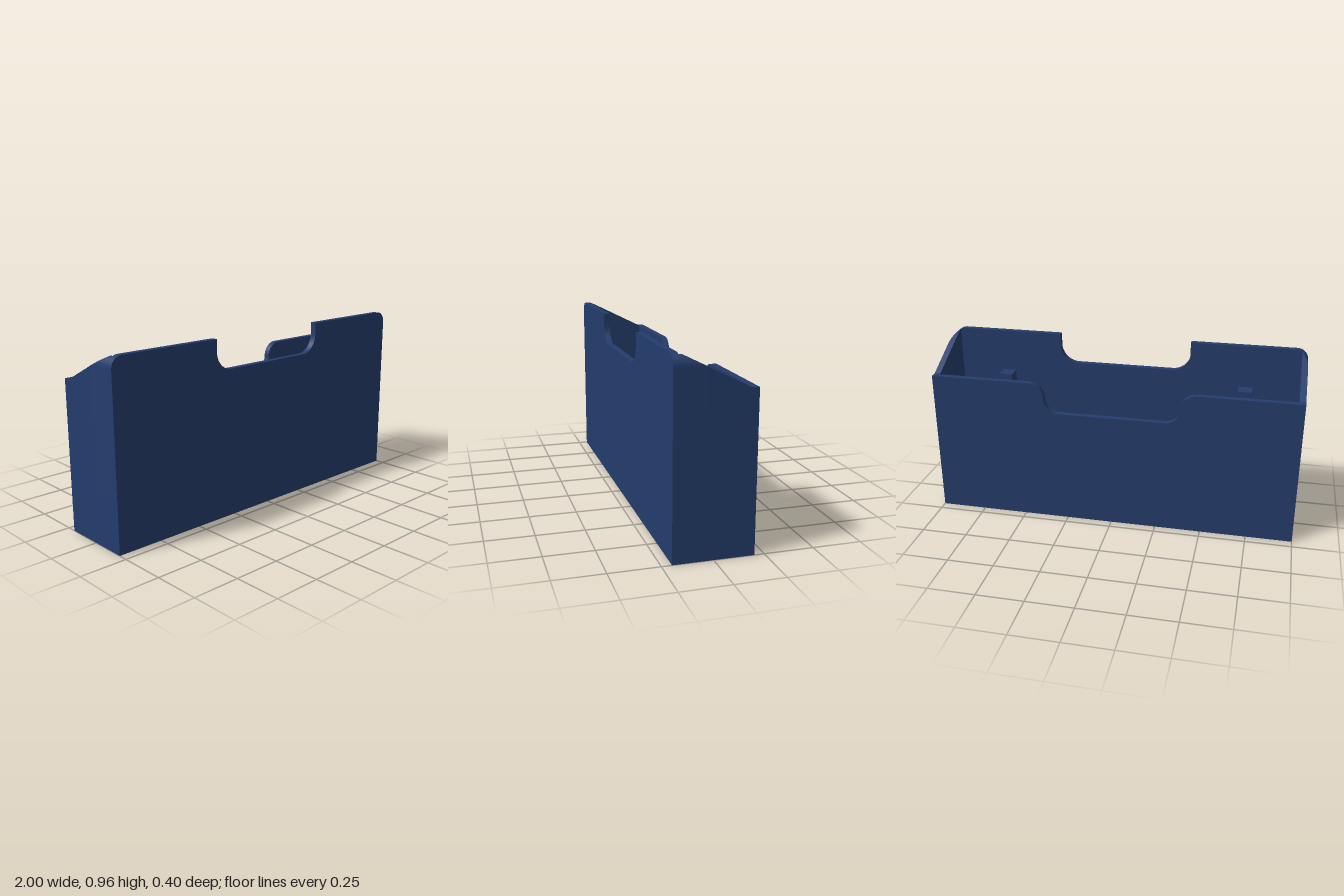
import * as THREE from 'three';
import { toCreasedNormals } from 'three/addons/utils/BufferGeometryUtils.js';

const WALL = 0.033, HALF_W = 1, HALF_D = 0.2;
const FRONT_H = 0.965, BACK_H = 0.8, CORNER = 0.06;
const IN_X = HALF_W - WALL, IN_Z = HALF_D - WALL;

export function createModel() {
  const group = new THREE.Group();
  const navy = new THREE.MeshStandardMaterial({ color: 0x243d6c });
  navy.name = 'navy';

  function add(name, geometry, x = 0, y = 0, z = 0) {
    const mesh = new THREE.Mesh(geometry, navy);
    mesh.name = name;
    mesh.position.set(x, y, z);
    group.add(mesh);
  }
  function extrude(shape, depth, steps = 1) {
    return new THREE.ExtrudeGeometry(shape, { depth, steps, bevelEnabled: false, curveSegments: 14 });
  }

  // Front wall: rounded outer corners, finger notch with a rounded bottom
  const nx = 0.37, nr = 0.1, cx = HALF_W - CORNER, cy = FRONT_H - CORNER;
  const front = new THREE.Shape();
  front.moveTo(-HALF_W, 0);
  front.lineTo(HALF_W, 0);
  front.absarc(cx, cy, CORNER, 0, Math.PI / 2, false);
  front.lineTo(nx, FRONT_H);
  front.absarc(nx - nr, BACK_H + nr, nr, 0, -Math.PI / 2, true);
  front.absarc(-nx + nr, BACK_H + nr, nr, -Math.PI / 2, -Math.PI, true);
  front.lineTo(-nx, FRONT_H);
  front.absarc(-cx, cy, CORNER, Math.PI / 2, Math.PI, false);
  add('frontWall', toCreasedNormals(extrude(front, WALL), 0.6), 0, 0, IN_Z);

  // Back wall: lower, with an S-curved notch
  const r = 0.0825, low = BACK_H - 2 * r;
  const back = new THREE.Shape();
  back.moveTo(-HALF_W, 0);
  back.lineTo(HALF_W, 0);
  back.lineTo(HALF_W, BACK_H);
  back.absarc(nx + r, BACK_H - r, r, Math.PI / 2, Math.PI, false);
  back.absarc(nx - r, low + r, r, 0, -Math.PI / 2, true);
  back.absarc(-nx + r, low + r, r, -Math.PI / 2, -Math.PI, true);
  back.absarc(-nx - r, BACK_H - r, r, 0, Math.PI / 2, false);
  back.lineTo(-HALF_W, BACK_H);
  add('backWall', toCreasedNormals(extrude(back, WALL), 0.6), 0, 0, -HALF_D);

  // Side walls: rounded section, cut down along the slope from front to back
  const a = Math.acos((IN_X - cx) / CORNER);
  for (const s of [1, -1]) {
    const section = new THREE.Shape();
    section.moveTo(s * IN_X, 0);
    section.lineTo(s * HALF_W, 0);
    for (let i = 0; i <= 10; i++) {
      const t = (a * i) / 10;
      section.lineTo(s * (cx + CORNER * Math.cos(t)), cy + CORNER * Math.sin(t));
    }
    const geo = extrude(section, 2 * IN_Z, 48);
    const p = geo.attributes.position;
    for (let i = 0; i < p.count; i++) {
      const z = p.getZ(i) - IN_Z;
      p.setZ(i, z);
      p.setY(i, Math.min(p.getY(i), BACK_H + 0.5 * Math.max(0, z + 0.165)));
    }
    add(s > 0 ? 'leftWall' : 'rightWall', toCreasedNormals(geo, 0.5));
  }

  // Floor
  add('floor', new THREE.BoxGeometry(2 * IN_X, WALL, 2 * IN_Z), 0, WALL / 2, 0);

  // Square posts inside, against the front wall
  const postTop = 0.73, post = 0.077;
  for (const s of [1, -1]) {
    add(s > 0 ? 'leftPost' : 'rightPost',
      new THREE.BoxGeometry(post, postTop - WALL, post),
      s * 0.683, (postTop + WALL) / 2, IN_Z - post / 2);
  }
  return group;
}
